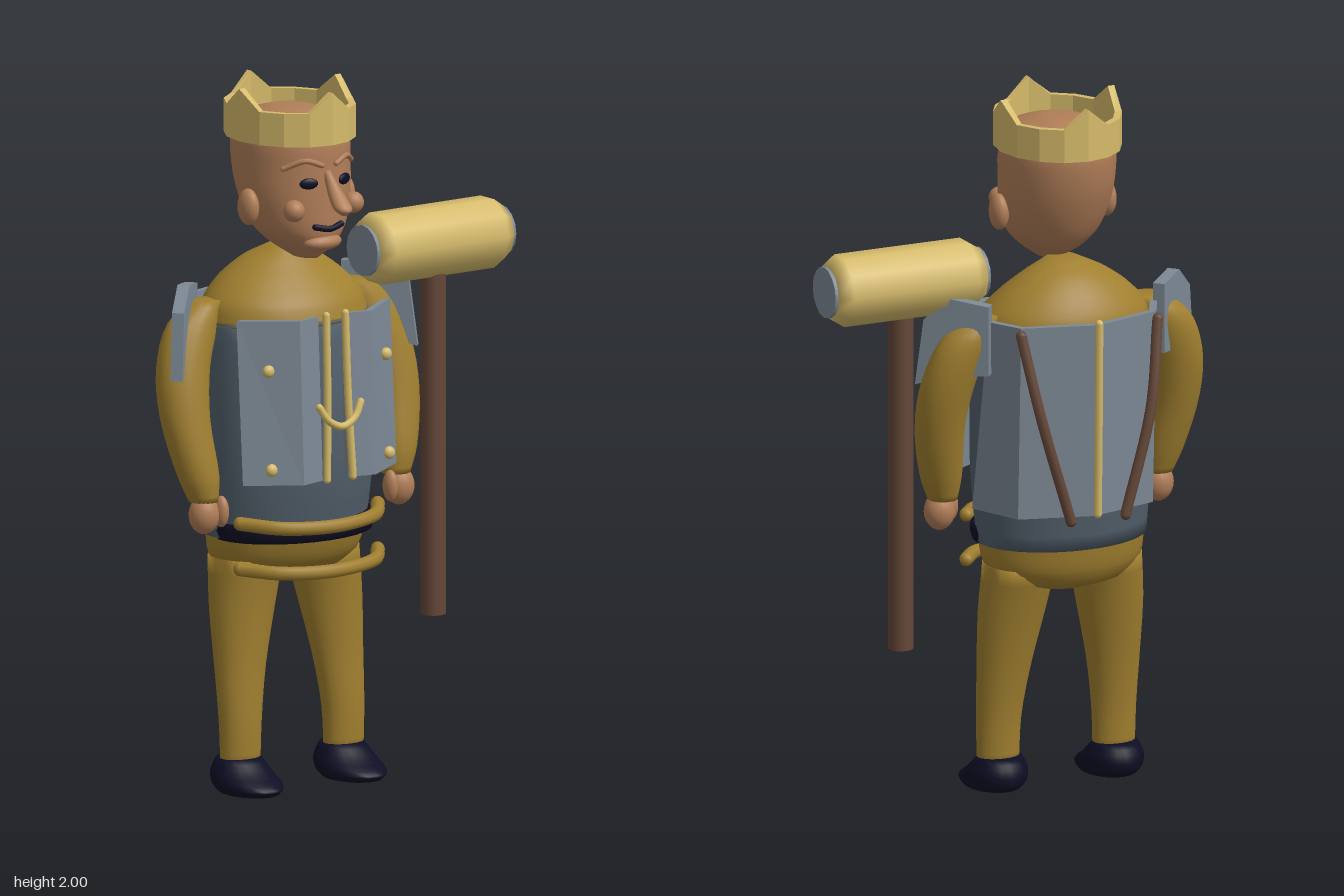
import * as THREE from 'three';

const mat = (name, color) => Object.assign(new THREE.MeshStandardMaterial({ color }), { name });

export function createModel() {
  const cloth = mat('ochre cloth', 0xa07f2f);
  const gold = mat('pale gold', 0xd6bb6b);
  const flesh = mat('skin', 0xb17e58);
  const steel = mat('steel', 0x7d8995);
  const mail = mat('dark mail', 0x525f6b);
  const wood = mat('wood', 0x654738);
  const ink = mat('dark navy', 0x0d0d24);

  const model = new THREE.Group();
  model.name = 'hammerKing';
  const figure = new THREE.Group();
  figure.name = 'figure';
  figure.position.x = -0.133;
  model.add(figure);

  const add = (name, geo, material, parent = figure) => {
    const m = new THREE.Mesh(geo, material);
    m.name = name;
    parent.add(m);
    return m;
  };

  // Surface through closed loops of equal length, turning from +x to +z
  function skin(loops, { flat = false, caps = true } = {}) {
    const n = loops[0].length, last = (loops.length - 1) * n, pos = [], idx = [];
    loops.forEach(l => l.forEach(p => pos.push(...p)));
    for (let k = 0; k < last; k += n) {
      for (let i = 0; i < n; i++) {
        const j = (i + 1) % n;
        idx.push(k + i, k + n + i, k + n + j, k + i, k + n + j, k + j);
      }
    }
    if (caps) {
      for (let i = 0; i < n / 2 - 1; i++) {
        const a = i, b = i + 1, c = n - 2 - i, d = n - 1 - i;
        idx.push(a, b, c, a, c, d);
        idx.push(last + a, last + c, last + b, last + a, last + d, last + c);
      }
    }
    let g = new THREE.BufferGeometry();
    g.setAttribute('position', new THREE.Float32BufferAttribute(pos, 3));
    g.setIndex(idx);
    if (flat) g = g.toNonIndexed();
    g.computeVertexNormals();
    return g;
  }

  // Horizontal ellipse rings [y, cx, cz, rx, rz], smoothed between rows
  function rings(rows, sub = 4, n = 28) {
    const centre = new THREE.CatmullRomCurve3(rows.map(r => new THREE.Vector3(r[1], r[0], r[2])));
    const radius = new THREE.CatmullRomCurve3(rows.map(r => new THREE.Vector3(r[3], r[4], r[0])));
    const count = (rows.length - 1) * sub, loops = [];
    for (let k = 0; k <= count; k++) {
      const c = centre.getPoint(k / count), r = radius.getPoint(k / count);
      loops.push(Array.from({ length: n }, (_, i) => {
        const a = i / n * Math.PI * 2;
        return [c.x + r.x * Math.cos(a), c.y, c.z + r.y * Math.sin(a)];
      }));
    }
    return skin(loops);
  }

  // Folded armour sheet between a bottom and a top line of [x, y, z]
  function sheet(bottom, top) {
    const loop = line => [...line, ...line.map(([x, y, z]) => [x * 0.93, y, z * 0.92]).reverse()];
    return skin([loop(bottom), loop(top)], { flat: true });
  }

  // Round-ended bar along points
  function bar(name, points, r, material) {
    const pts = points.map(p => new THREE.Vector3(...p));
    add(name, new THREE.TubeGeometry(new THREE.CatmullRomCurve3(pts), 20, r, 8), material);
    for (const p of [pts[0], pts[pts.length - 1]]) {
      add(name + 'End', new THREE.SphereGeometry(r, 8, 6), material).position.copy(p);
    }
  }

  function blob(name, [x, y, z], [rx, ry, rz], material) {
    const m = add(name, new THREE.SphereGeometry(1, 18, 12), material);
    m.position.set(x, y, z);
    m.scale.set(rx, ry, rz);
    return m;
  }

  // Torso
  add('hips', rings([[0.585, 0, -0.04, 0.09, 0.06], [0.61, 0, -0.04, 0.18, 0.12],
    [0.66, 0, -0.03, 0.232, 0.16], [0.75, 0, -0.02, 0.247, 0.185]]), cloth);
  add('mailShirt', rings([[0.725, 0, -0.025, 0.25, 0.185], [0.9, 0, -0.02, 0.262, 0.21],
    [1.1, 0, -0.02, 0.264, 0.213], [1.34, 0, -0.03, 0.257, 0.196]]), mail);
  add('shoulders', rings([[1.33, 0, -0.03, 0.258, 0.198], [1.39, 0, -0.035, 0.243, 0.182],
    [1.45, 0, -0.045, 0.187, 0.14], [1.5, 0, -0.045, 0.115, 0.09], [1.535, 0, -0.03, 0.04, 0.04]]), cloth);
  add('belt', rings([[0.72, 0, 0.01, 0.245, 0.18], [0.745, 0, 0.01, 0.252, 0.19],
    [0.77, 0, 0.01, 0.248, 0.185]], 2), ink);

  // Bowed bars around the waist
  for (const [y, dip] of [[0.78, 0.015], [0.65, 0.012]]) {
    bar('waistBar', [[-0.24, y, 0.09], [-0.16, y - dip * 0.6, 0.18], [0, y - dip, 0.215],
      [0.16, y - dip * 0.6, 0.18], [0.24, y, 0.09]], 0.02, cloth);
  }

  // Mirrored limbs, armour and face parts
  for (const s of [1, -1]) {
    const side = s > 0 ? 'left' : 'right';
    const mirror = line => {
      const l = line.map(([x, y, z]) => [x * s, y, z]);
      return s > 0 ? l : l.reverse();
    };
    add(side + 'Leg', rings([[0.06, s * 0.18, 0.01, 0.062, 0.044], [0.2, s * 0.179, 0.008, 0.066, 0.05],
      [0.35, s * 0.17, -0.005, 0.079, 0.06], [0.52, s * 0.152, -0.02, 0.098, 0.083],
      [0.66, s * 0.132, -0.03, 0.105, 0.11]], 3, 20), cloth);
    add(side + 'Shoe', rings([[0, s * 0.18, 0.05, 0.075, 0.1], [0.02, s * 0.18, 0.046, 0.089, 0.119],
      [0.055, s * 0.18, 0.015, 0.087, 0.09], [0.095, s * 0.18, 0, 0.066, 0.058]], 3, 20), ink);
    add(side + 'Arm', rings([[0.85, s * 0.335, 0.045, 0.042, 0.042], [0.92, s * 0.345, 0.035, 0.06, 0.056],
      [1.08, s * 0.365, 0, 0.073, 0.065], [1.22, s * 0.35, -0.03, 0.08, 0.068],
      [1.34, s * 0.3, -0.05, 0.078, 0.06], [1.4, s * 0.25, -0.05, 0.05, 0.04]], 4, 20), cloth);
    blob(side + 'Hand', [s * 0.34, 0.813, 0.055], [0.045, 0.055, 0.042], flesh);
    blob(side + 'Thumb', [s * 0.295, 0.82, 0.075], [0.02, 0.045, 0.025], flesh);

    // Shoulder guard set diagonally behind the arm
    const outline = [[0, 1.24], [0, 1.44], [0.11, 1.455], [0.19, 1.39], [0.215, 1.2], [0.12, 1.23]];
    const guard = new THREE.ExtrudeGeometry(new THREE.Shape(outline.map(p => new THREE.Vector2(...p))),
      { depth: 0.035, bevelEnabled: false });
    guard.translate(0, 0, -0.0175);
    const g = add(side + 'ShoulderGuard', guard, steel);
    g.position.set(s * 0.262, 0, -0.11);
    g.rotation.y = s > 0 ? -0.735 : 0.735 - Math.PI;

    // Breastplate half with studs
    add(side + 'BreastPlate', sheet(
      mirror([[0.268, 0.9, 0.14], [0.125, 0.9, 0.235], [0.045, 0.9, 0.215]]),
      mirror([[0.268, 1.365, 0.11], [0.125, 1.365, 0.215], [0.05, 1.365, 0.2]])), steel);
    for (const [y, z] of [[1.225, 0.175], [0.945, 0.19]]) {
      blob('stud', [s * 0.205, y, z], [0.018, 0.018, 0.014], gold);
    }
    bar(side + 'FrontTrim', [[s * 0.033, 1.37, 0.215], [s * 0.036, 1.13, 0.225], [s * 0.045, 0.905, 0.235]], 0.011, gold);
    bar(side + 'BackStrap', [[s * 0.212, 1.37, -0.205], [s * 0.17, 1.13, -0.25], [s * 0.085, 0.83, -0.262]], 0.016, wood);

    // Face
    blob(side + 'Ear', [s * 0.167, 1.667, 0.03], [0.027, 0.052, 0.037], flesh);
    blob(side + 'Cheek', [s * 0.103, 1.668, 0.158], [0.031, 0.031, 0.03], flesh);
    blob(side + 'Eye', [s * 0.062, 1.743, 0.172], [0.027, 0.016, 0.008], ink).rotation.y = s * 0.38;
    bar(side + 'Brow', [[s * 0.025, 1.793, 0.183], [s * 0.07, 1.808, 0.168], [s * 0.118, 1.785, 0.127]], 0.008, flesh);
  }

  // Back armour
  add('backPlate', sheet(
    [[-0.275, 0.83, -0.02], [-0.21, 0.83, -0.18], [0, 0.83, -0.24], [0.21, 0.83, -0.18], [0.275, 0.83, -0.02]],
    [[-0.262, 1.39, -0.1], [-0.21, 1.39, -0.2], [0, 1.39, -0.262], [0.21, 1.39, -0.2], [0.262, 1.39, -0.1]]), steel);
  bar('backTrim', [[0, 1.395, -0.268], [0, 1.1, -0.264], [0, 0.84, -0.258]], 0.012, gold);
  bar('chestLoop', [[-0.072, 1.115, 0.235], [-0.045, 1.075, 0.243], [0, 1.055, 0.247],
    [0.045, 1.075, 0.243], [0.072, 1.115, 0.235]], 0.011, gold);

  // Head
  add('head', rings([[1.515, 0, 0.07, 0.03, 0.05], [1.555, 0, 0.055, 0.085, 0.11], [1.6, 0, 0.04, 0.127, 0.138],
    [1.68, 0, 0.02, 0.155, 0.16], [1.77, 0, 0.005, 0.163, 0.174], [1.865, 0, 0, 0.158, 0.174],
    [1.91, 0, 0, 0.125, 0.14], [1.935, 0, 0, 0.045, 0.05]]), flesh);
  add('nose', rings([[1.66, 0, 0.256, 0.01, 0.01], [1.675, 0, 0.25, 0.026, 0.027], [1.7, 0, 0.228, 0.025, 0.027],
    [1.74, 0, 0.195, 0.016, 0.02], [1.775, 0, 0.172, 0.01, 0.012]], 3, 14), flesh);
  bar('mouth', [[-0.045, 1.618, 0.18], [0, 1.61, 0.19], [0.045, 1.618, 0.18]], 0.009, ink);
  blob('lowerLip', [0, 1.567, 0.152], [0.062, 0.025, 0.036], flesh);

  // Crown with four points
  const crownLoop = (rx, rz, top) => Array.from({ length: 16 }, (_, i) => {
    const a = i / 16 * Math.PI * 2;
    return [rx * Math.cos(a), top ? (i % 4 ? 1.945 : 2) : 1.85, rz * Math.sin(a)];
  });
  add('crown', skin([crownLoop(0.177, 0.2, false), crownLoop(0.177, 0.2, true), crownLoop(0.157, 0.18, true),
    crownLoop(0.157, 0.18, false), crownLoop(0.177, 0.2, false)], { flat: true, caps: false }), gold);

  // Hammer
  const hammer = new THREE.Group();
  hammer.name = 'hammer';
  model.add(hammer);
  add('hammerShaft', new THREE.CylinderGeometry(0.036, 0.036, 1, 16), wood, hammer).position.set(0.33, 0.93, 0.05);
  const profile = [[0, -0.232], [0.078, -0.232], [0.103, -0.195], [0.103, 0.195], [0.078, 0.232], [0, 0.232]];
  const parts = [
    ['hammerHead', new THREE.LatheGeometry(profile.map(p => new THREE.Vector2(...p)), 10), gold],
    ['hammerFaces', new THREE.CylinderGeometry(0.073, 0.073, 0.484, 16), steel],
  ];
  for (const [name, geo, material] of parts) {
    const m = add(name, geo, material, hammer);
    m.rotation.z = Math.PI / 2;
    m.position.set(0.33, 1.495, 0.042);
  }
  return model;
}
